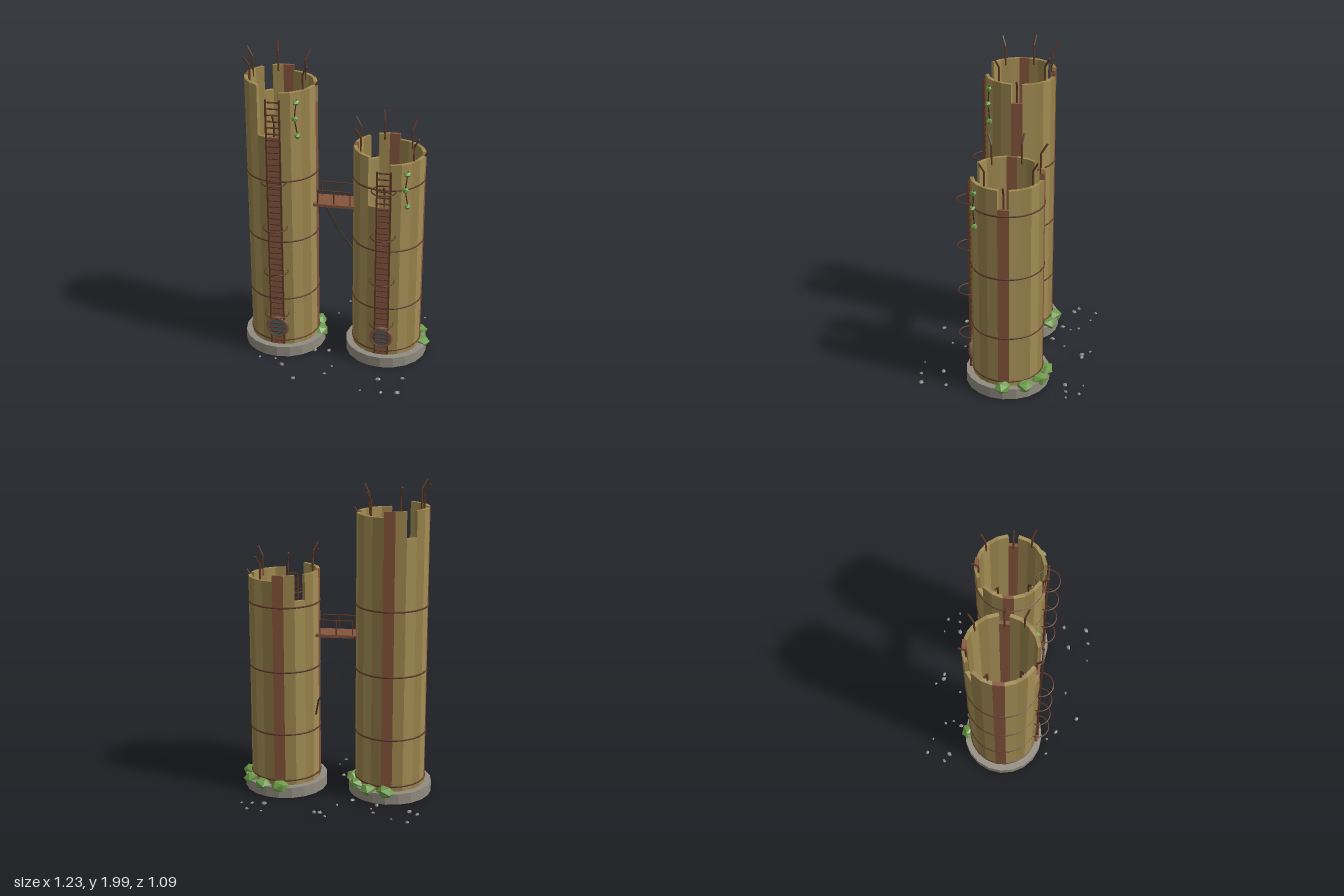
import * as THREE from 'three';

const mat = (color, flat = false) => new THREE.MeshStandardMaterial({ color, flatShading: flat });
const TAN = mat(0xa48d55), TAN2 = mat(0x968049), BROWN = mat(0x85553c), RUST = mat(0x5e3826);
const CONCRETE = mat(0x918c80, true), LEAF = mat(0x6c9a48, true), STONE = mat(0x8c8a86, true);
const CABLE = mat(0x3c3229), GLASS = mat(0x4c5a5c);
const Z0 = -0.024, R = 0.22, SIDES = 20, BASE_TOP = 0.085;

function add(parent, name, geo, material, x = 0, y = 0, z = 0) {
  const m = new THREE.Mesh(geo, material);
  m.name = name;
  m.position.set(x, y, z);
  parent.add(m);
  return m;
}

// Straight round bar between two points
function bar(parent, name, a, b, r, material) {
  const A = new THREE.Vector3(...a), B = new THREE.Vector3(...b);
  const m = add(parent, name, new THREE.CylinderGeometry(r, r, A.distanceTo(B), 6), material);
  m.position.copy(A).lerp(B, 0.5);
  m.quaternion.setFromUnitVectors(new THREE.Vector3(0, 1, 0), B.sub(A).normalize());
  return m;
}

// Bent bar through several points
function bentBar(parent, name, pts, r, material) {
  const g = new THREE.Group();
  g.name = name;
  for (let i = 1; i < pts.length; i++) bar(g, name + 'Segment', pts[i - 1], pts[i], r, material);
  parent.add(g);
}

// Irregular faceted lump
function lump(parent, name, material, x, y, z, sx, sy, sz, seed) {
  const m = add(parent, name, new THREE.IcosahedronGeometry(1, 0), material, x, y, z);
  const p = m.geometry.attributes.position;
  for (let i = 0; i < p.count; i++) {
    const k = 1 + 0.14 * Math.sin(p.getX(i) * 5 + p.getY(i) * 7 + p.getZ(i) * 3 + seed);
    p.setXYZ(i, p.getX(i) * k, p.getY(i) * k, p.getZ(i) * k);
  }
  m.geometry.computeVertexNormals();
  m.scale.set(sx, sy, sz);
  m.rotation.y = seed * 1.7;
}

// How far each stave falls short of the full height
function staveDrop(i) {
  if (i === 5 || i === 6) return 0.32;
  if (i === 0 || i === 13) return 0.16;
  return i < 5 || i > 15 ? 0.037 : 0;
}

function tower(name, x, top) {
  const g = new THREE.Group();
  g.name = name;
  g.position.set(x, 0, Z0);

  add(g, 'foundation', new THREE.CylinderGeometry(0.265, 0.265, 0.07, SIDES), CONCRETE, 0, 0.05, 0);

  // Wall of upright staves with a broken rim
  const width = 2 * R * Math.tan(Math.PI / SIDES);
  for (let i = 0; i < SIDES; i++) {
    const a = (i / SIDES) * Math.PI * 2, c = Math.cos(a), s = Math.sin(a);
    const h = top - staveDrop(i) - BASE_TOP;
    const material = i % 5 === 0 ? BROWN : i % 2 ? TAN : TAN2;
    const stave = add(g, 'stave', new THREE.BoxGeometry(width, h, 0.022), material,
      c * (R - 0.011), BASE_TOP + h / 2, s * (R - 0.011));
    stave.rotation.y = Math.PI / 2 - a;
    // Bent reinforcing rods sticking out of the rim
    if (i === 0 || i % 3 === 2) {
      const t = top - staveDrop(i);
      const at = (r, y) => [c * r, y, s * r];
      bentBar(g, 'rimRod', [at(0.2, t - 0.04), at(0.2, t + 0.09), at(0.238, t + 0.147)], 0.006, RUST);
    }
  }

  // Hoops binding the staves
  for (const y of [0.117, 0.425, 0.833, 1.245]) {
    const band = add(g, 'band', new THREE.TorusGeometry(R + 0.001, 0.006, 6, 40), RUST, 0, y, 0);
    band.rotation.x = Math.PI / 2;
  }

  // Ladder with safety hoops
  const ladderTop = top - 0.075, lz = 0.232;
  for (const sx of [-1, 1]) {
    add(g, 'ladderRail', new THREE.BoxGeometry(0.01, ladderTop - 0.1, 0.012), RUST,
      sx * 0.042, (ladderTop + 0.1) / 2, lz);
  }
  for (let y = 0.12; y < ladderTop; y += 0.04) {
    bar(g, 'ladderRung', [-0.045, y, lz], [0.045, y, lz], 0.005, RUST);
  }
  for (let k = 0; k < 4; k++) {
    const hoop = add(g, 'ladderHoop', new THREE.TorusGeometry(0.075, 0.004, 6, 28), RUST,
      0, 0.325 + k * 0.307, lz);
    hoop.rotation.x = Math.PI / 2;
  }

  // Round louvred hatch
  add(g, 'hatchRing', new THREE.TorusGeometry(0.064, 0.011, 8, 28), BROWN, 0, 0.22, 0.229);
  const pane = add(g, 'hatchPane', new THREE.CylinderGeometry(0.062, 0.062, 0.02, 28), GLASS, 0, 0.22, 0.228);
  pane.rotation.x = Math.PI / 2;
  for (const dy of [-0.03, 0, 0.03]) {
    add(g, 'hatchSlat', new THREE.BoxGeometry(dy ? 0.09 : 0.115, 0.007, 0.008), RUST, 0, 0.22 + dy, 0.241);
  }

  // Hanging vine
  const vine = [[0.137, -0.08], [0.135, -0.1], [0.124, -0.2], [0.14, -0.31], [0.136, -0.33]]
    .map(([vx, dy]) => [vx, top + dy, Math.sqrt(0.228 ** 2 - vx * vx)]);
  bentBar(g, 'vineStem', vine, 0.004, CABLE);
  vine.slice(1, 4).forEach(([vx, y, vz], i) =>
    lump(g, 'vineLeaf', LEAF, vx, y, vz, 0.025, 0.02, 0.02, i + 1));

  // Bushes round the foot
  [270, 299, 328, 360].forEach((deg, i) => {
    const a = THREE.MathUtils.degToRad(deg);
    lump(g, 'bush', LEAF, Math.cos(a) * 0.235, 0.085, Math.sin(a) * 0.235, 0.06, 0.042, 0.052, i + x);
  });
  return g;
}

export function createModel() {
  const model = new THREE.Group();
  model.name = 'twinTowers';
  model.add(tower('tallTower', -0.349, 1.852), tower('shortTower', 0.327, 1.445));

  // Footbridge with rails on both sides
  const bridge = new THREE.Group();
  bridge.name = 'footbridge';
  add(bridge, 'deck', new THREE.BoxGeometry(0.26, 0.018, 0.154), BROWN, -0.01, 1.04, Z0);
  for (const s of [-1, 1]) {
    const z = Z0 + s * 0.069;
    for (const x of [-0.112, -0.01, 0.092]) bar(bridge, 'railPost', [x, 1.04, z], [x, 1.14, z], 0.004, RUST);
    bar(bridge, 'handrail', [-0.114, 1.14, z], [0.094, 1.14, z], 0.004, RUST);
  }
  model.add(bridge);

  // Sagging cable between the towers
  bentBar(model, 'cable', [[-0.13, 1.04, -0.105], [-0.08, 0.93, -0.115], [-0.01, 0.785, -0.128],
    [0.05, 0.7, -0.136], [0.095, 0.63, -0.138], [0.112, 0.535, -0.138]], 0.006, CABLE);

  // Scattered rubble, as x, z pairs
  const rubble = [
    -0.51, -0.54, -0.41, -0.51, -0.56, -0.42, -0.51, -0.39, -0.29, -0.435, -0.27, -0.38, -0.3, -0.325,
    -0.14, -0.27, -0.055, -0.355, -0.005, -0.53, 0.035, -0.48, 0.07, -0.48, 0.395, -0.51, 0.49, -0.49,
    0.4, -0.395, 0.475, -0.405, 0.54, -0.41, -0.03, 0.12, -0.12, 0.13, -0.455, 0.28, -0.35, 0.28,
    -0.295, 0.34, -0.19, 0.48, 0.025, 0.3, -0.005, 0.39, 0.34, 0.39, 0.49, 0.35, 0.25, 0.53,
    0.38, 0.53, 0.48, 0.51];
  for (let i = 0; i < rubble.length; i += 2) {
    const s = 0.011 + 0.004 * Math.sin(i * 2.3);
    lump(model, 'rubble', STONE, rubble[i], 0.024, rubble[i + 1], s * 1.25, s * 0.75, s, i);
  }
  return model;
}
